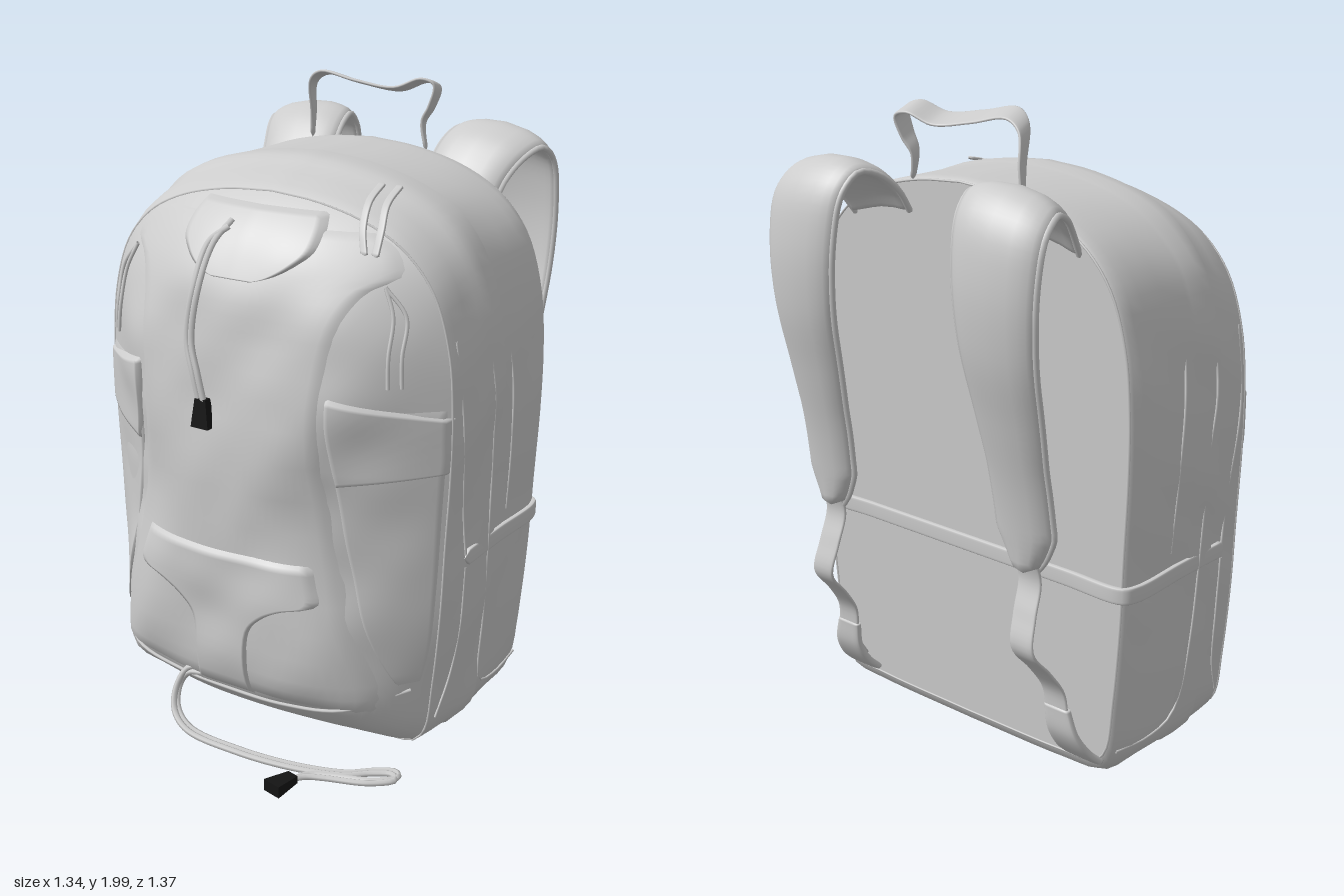
import * as THREE from 'three';

const grey = new THREE.MeshStandardMaterial({ color: 0xcccccc, side: THREE.DoubleSide });
const black = new THREE.MeshStandardMaterial({ color: 0x151515, side: THREE.DoubleSide });
const V = (x, y, z) => new THREE.Vector3(x, y, z);
const curve = (pts) => new THREE.CatmullRomCurve3(pts.map((p) => V(...p)), false, 'centripetal');

function named(name, geometry, material = grey) {
  const m = new THREE.Mesh(geometry, material);
  m.name = name;
  return m;
}

// Skin a list of rings (or open rows) of points
function loft(rings, closed = true) {
  const n = rings[0].length, idx = [];
  for (let i = 0; i < rings.length - 1; i++) {
    for (let j = 0; j < (closed ? n : n - 1); j++) {
      const k = (j + 1) % n, a = i * n + j, b = i * n + k;
      idx.push(a, b, b + n, a, b + n, a + n);
    }
  }
  const g = new THREE.BufferGeometry().setFromPoints(rings.flat());
  g.setIndex(idx);
  g.computeVertexNormals();
  return g;
}

// Padded band along a path; cross is its width direction, camber bows it across
function band(pts, width, thick, cross, { power = 0.5, steps = 40, camber = 0 } = {}) {
  const c = curve(pts), rings = [];
  for (let i = 0; i <= steps; i++) {
    const t = i / steps, p = c.getPoint(t), w = cross(t).normalize();
    const n = c.getTangent(t).cross(w).normalize(), ring = [];
    const end = i === 0 || i === steps ? 0.01 : 1;
    for (let j = 0; j < 20; j++) {
      const a = (j / 20) * Math.PI * 2, co = Math.cos(a), si = Math.sin(a);
      const u = Math.sign(co) * Math.abs(co) ** power * end;
      const v = Math.sign(si) * Math.abs(si) ** power * thick / 2 * end + camber * (u * u - 0.4);
      ring.push(p.clone().addScaledVector(w, u * width(t) / 2).addScaledVector(n, v));
    }
    rings.push(ring);
  }
  return loft(rings);
}
const tube = (pts, r, seg = 40) => new THREE.TubeGeometry(curve(pts), seg, r, 6);

// Front outline of the bag, counter-clockwise from the bottom middle
const half = curve([[0, 0.01, 0], [0.4, 0.015, 0], [0.55, 0.03, 0], [0.59, 0.08, 0], [0.615, 0.25, 0],
  [0.637, 0.5, 0], [0.648, 0.75, 0], [0.66, 1, 0], [0.66, 1.2, 0], [0.642, 1.38, 0], [0.585, 1.55, 0],
  [0.49, 1.66, 0], [0.36, 1.73, 0], [0.18, 1.775, 0], [0, 1.79, 0]]).getSpacedPoints(60);
const outline = [...half, ...half.slice(1, -1).reverse().map((p) => V(-p.x, p.y, 0))];

// Depth stations: z, width scale, top, bottom
const stations = [[-0.36, 0.95, 1.78, 0.06], [-0.35, 0.965, 1.788, 0.03], [-0.32, 0.977, 1.79, 0.014],
  [-0.27, 0.98, 1.79, 0.005], [-0.18, 0.977, 1.79, 0.005], [-0.07, 0.98, 1.79, 0.005], [-0.06, 0.99, 1.792, 0.005],
  [0, 1, 1.795, 0.005], [0.045, 0.997, 1.79, 0.005], [0.06, 0.982, 1.777, 0.005], [0.12, 0.98, 1.757, 0.008],
  [0.18, 0.972, 1.735, 0.012], [0.21, 0.955, 1.715, 0.018]];
const ripple = (x, y, z) => 0.005 * (Math.sin(9 * y + 5 * x + 3 * z) * Math.sin(7 * z + 11 * x)
  + 0.6 * Math.sin(23 * y - 9 * x + 17 * z) * Math.sin(13 * x + 5 * y));
const station = ([z, sx, top, bot]) => outline.map((p) => {
  const r = z > -0.34 && z < 0.2 ? ripple(p.x, p.y, z) : 0;
  return V(p.x * sx + Math.sign(p.x) * r, bot + ((p.y - 0.01) / 1.78) * (top - bot), z);
});
const bodyRings = stations.map(station);
const rim = bodyRings[bodyRings.length - 1];
const MID = 0.8;

// Depth of the domed front at a point: rounded sideways, boxier below, leaning back above
function front(x, y) {
  const dx = x, dy = y - MID;
  let s = 0;
  for (let i = 0; i < rim.length; i++) {
    const a = rim[i], b = rim[(i + 1) % rim.length], ay = a.y - MID, by = b.y - MID;
    if (a.x * dy - ay * dx >= 0 && dx * by - dy * b.x >= 0) {
      const ex = b.x - a.x, ey = by - ay;
      s = Math.min(1, (dx * ey - dy * ex) / (a.x * ey - ay * ex));
      break;
    }
  }
  const d2 = dx * dx + dy * dy, steep = d2 > 1e-8 ? ((dy * dy) / d2) ** 2 : 0;
  const p = 2.1 + (dy > 0 ? 5 : 7) * steep;
  const depth = 0.285 - 0.12 * Math.max(0, y - 0.95);
  return 0.21 + depth * (1 - s ** p) + 1.6 * ripple(x, y, 0.4) * (1 - s ** 4);
}
const onFront = (pts, lift = 0.01) => pts.map(([x, y]) => [x, y, front(x, y) + lift]);

// Sewn panel that follows the front; rows are [y, left x, right x]; tilt slopes its top and bottom edges
function panel(rows, lift, tilt = () => 0) {
  const c = curve(rows), R = 28, C = 28, grid = [];
  for (let i = 0; i <= R; i++) {
    const q = c.getPoint(i / R), row = [];
    for (let j = 0; j <= C; j++) {
      const x = q.y + (q.z - q.y) * (j / C), y = q.x + tilt(i / R) * (j / C);
      const edge = i === 0 || j === 0 || i === R || j === C;
      row.push(V(x, y, front(x, y) + (edge ? -0.008 : lift)));
    }
    grid.push(row);
  }
  return loft(grid, false);
}

// Point on the left flank for a given z and y
function onSide(z, y) {
  const p = half.find((h) => h.y >= y && h.x > 0.5);
  const i = Math.max(1, stations.findIndex((s) => s[0] >= z)), a = stations[i - 1], b = stations[i];
  const sx = a[1] + (b[1] - a[1]) * ((z - a[0]) / (b[0] - a[0]));
  return [p.x * sx + ripple(p.x, y, z), y, z];
}

function toggle(name, x, y, z) {
  const g = new THREE.CylinderGeometry(0.028, 0.045, 0.09, 4, 1).rotateY(Math.PI / 4);
  g.scale(1, 1, 0.6);
  const m = named(name, g.toNonIndexed(), black);
  m.geometry.computeVertexNormals();
  m.position.set(x, y, z);
  return m;
}

// Everything that exists once per side, built on the left
function sideParts() {
  const g = new THREE.Group();
  const X = () => V(1, 0, 0);
  const pad = [[0.32, 1.66, -0.35], [0.325, 1.73, -0.4], [0.345, 1.79, -0.47], [0.365, 1.81, -0.55], [0.375, 1.75, -0.62],
    [0.38, 1.6, -0.655], [0.385, 1.4, -0.65], [0.39, 1.2, -0.61], [0.395, 1, -0.57], [0.4, 0.85, -0.55], [0.4, 0.73, -0.54]];
  const padWidth = (t) => (0.25 + 0.07 * Math.sin(Math.PI * Math.min(1, t * 1.3)) - 0.06 * t) * Math.sqrt(Math.min(1, 0.1 + (1 - t) * 9));
  const padCross = (t) => V(1, -0.16 * (1 - t), 0.06);
  const camber = 0.028;
  g.add(named('shoulderStrap', band(pad, padWidth, 0.042, padCross, { power: 0.6, steps: 60, camber })));

  // piping along both strap edges
  const c = curve(pad);
  for (const e of [-1, 1]) {
    const pts = [];
    for (let i = 0; i <= 30; i++) {
      const t = i / 30, w = padCross(t).normalize(), n = c.getTangent(t).cross(w).normalize();
      pts.push(c.getPoint(t).addScaledVector(w, e * padWidth(t) / 2).addScaledVector(n, camber * 0.6).toArray());
    }
    g.add(named('strapPiping', tube(pts, 0.01, 60)));
  }
  g.add(named('adjusterWebbing', band([[0.4, 0.8, -0.55], [0.405, 0.7, -0.525], [0.41, 0.6, -0.555],
    [0.42, 0.5, -0.578], [0.43, 0.41, -0.51], [0.44, 0.33, -0.46], [0.45, 0.22, -0.445], [0.46, 0.13, -0.39]],
  () => 0.085, 0.012, X)));
  g.add(named('strapAnchor', band([[0.445, 0.28, -0.45], [0.46, 0.19, -0.44], [0.47, 0.12, -0.4], [0.475, 0.08, -0.36]],
    (t) => 0.09 + 0.07 * t, 0.026, X)));

  // flank seams
  const seams = [
    [[0.05, 1.5], [0.02, 1.2], [0, 1], [-0.015, 0.7], [-0.03, 0.4], [-0.05, 0.2], [-0.09, 0.13], [-0.2, 0.11], [-0.34, 0.12]],
    [[-0.07, 1.5], [-0.12, 1.2], [-0.14, 0.95], [-0.15, 0.72]],
    [[0.11, 0.62], [0.11, 0.42], [0.13, 0.25], [0.18, 0.12]],
    [[0.18, 1.35], [0.17, 1.1], [0.13, 0.8], [0.11, 0.66]]];
  for (const s of seams) g.add(named('flankSeam', tube(s.map((p) => onSide(...p)), 0.004)));

  // front side pocket, its elastic top and the zip
  g.add(named('sidePocket', panel([[0.26, 0.53, 0.565], [0.4, 0.47, 0.59], [0.6, 0.41, 0.605], [0.8, 0.37, 0.615],
    [1, 0.345, 0.625], [1.17, 0.335, 0.625]], 0.006)));
  g.add(named('pocketElastic', panel([[0.915, 0.36, 0.63], [1, 0.345, 0.635], [1.1, 0.335, 0.635], [1.2, 0.335, 0.635]],
    0.016, (t) => 0.04 - 0.11 * t)));
  for (const d of [0, 0.03]) {
    g.add(named('zipPull', tube(onFront([[0.45, 1.51], [0.485 + d, 1.43], [0.49 + d, 1.32], [0.495 + d, 1.23]], 0.015), 0.006)));
  }
  return g;
}

export function createModel() {
  const model = new THREE.Group();
  model.name = 'backpack';

  // main shell: flanks, flat back and domed front
  model.add(named('body', loft(bodyRings)));
  const shrink = (s, ring) => ring.map((p) => V(p.x * s, MID + (p.y - MID) * s, p.z));
  model.add(named('backPanel', loft([1, 0.7, 0.4, 0.001].map((s) => shrink(s, bodyRings[0])))));
  const domes = [];
  for (let i = 0; i <= 40; i++) {
    const ring = shrink(Math.max(0.001, 1 - (i / 40) ** 1.6), rim);
    if (i) ring.forEach((p) => { p.z = front(p.x, p.y); });
    domes.push(ring);
  }
  model.add(named('frontPanel', loft(domes)));

  // piping around the front and back rims
  for (const ring of [rim, bodyRings[0]]) {
    model.add(named('rimPiping', new THREE.TubeGeometry(new THREE.CatmullRomCurve3(ring, true), 160, 0.004, 5, true)));
  }

  // front panels
  const sym = (rows) => rows.map(([y, x]) => [y, -x, x]);
  model.add(named('centrePanel', panel(sym([[0.17, 0.5], [0.27, 0.51], [0.5, 0.425], [0.8, 0.36], [1.1, 0.33],
    [1.3, 0.345], [1.42, 0.375], [1.49, 0.42], [1.54, 0.5], [1.6, 0.46], [1.65, 0.36]]), 0.006)));
  model.add(named('topFlap', panel(sym([[1.685, 0.22], [1.64, 0.24], [1.59, 0.24], [1.55, 0.2], [1.51, 0.13], [1.49, 0.06]]), 0.022)));
  model.add(named('lowerPanel', panel(sym([[0.675, 0.31], [0.6, 0.335], [0.55, 0.345], [0.52, 0.25], [0.48, 0.17],
    [0.42, 0.115], [0.3, 0.1], [0.17, 0.1]]), 0.018)));
  model.add(named('baseSeam', tube(onFront([[-0.55, 0.25], [-0.4, 0.2], [-0.2, 0.17], [0, 0.165], [0.2, 0.17], [0.4, 0.2], [0.55, 0.25]], 0.004), 0.006)));

  const left = sideParts(), right = left.clone();
  left.name = 'leftSide';
  right.name = 'rightSide';
  right.scale.x = -1;
  model.add(left, right);

  // belt around the flanks and back
  const belt = [];
  for (const s of [1, -1]) {
    const run = [[0.637, 0.12], [0.635, -0.1], [0.637, -0.32], [0.615, -0.362], [0.4, -0.363], [0, -0.363]].map(([x, z]) => [s * x, 0.652, z]);
    belt.push(...(s > 0 ? run : run.slice(0, -1).reverse()));
  }
  model.add(named('belt', band(belt, () => 0.052, 0.018, () => V(0, 1, 0), { power: 0.4, steps: 100 })));

  // grab handle
  model.add(named('grabHandle', band([[-0.235, 1.76, -0.355], [-0.225, 1.85, -0.345], [-0.205, 1.95, -0.315], [-0.15, 1.985, -0.3],
    [-0.03, 1.965, -0.31], [0.1, 1.95, -0.335], [0.18, 1.98, -0.36], [0.22, 1.965, -0.37], [0.205, 1.9, -0.365], [0.18, 1.85, -0.36], [0.195, 1.76, -0.355]],
  (t) => 0.02 + 0.085 * Math.sin(Math.PI * t), 0.01, () => V(0.25, 0.25, 1), { power: 0.4, steps: 60 })));

  // top zip pulls
  for (const d of [0, 0.06]) {
    model.add(named('topZipPull', band([[0.3 + d, 1.75, 0.07], [0.325 + d, 1.715, 0.19], [0.345 + d, 1.655, 0.25], [0.375 + d * 0.6, 1.59, 0.29]],
      () => 0.026, 0.01, () => V(1, 0, 0.2))));
  }

  // doubled drawcords with toggles
  for (const d of [-0.009, 0.009]) {
    model.add(named('upperCord', tube(onFront([[-0.06, 1.635 + d], [-0.1 + d, 1.58], [-0.11 + d, 1.45], [-0.115 + d, 1.3],
      [-0.085 + d, 1.21], [-0.06 + d, 1.12]], 0.028), 0.01)));
    model.add(named('lowerCord', tube([[-0.1, 0.2 + d, 0.46], [-0.155, 0.19 + d, 0.47], [-0.185, 0.13, 0.49 + d], [-0.17, 0.07, 0.52 + d],
      [-0.1, 0.035, 0.55 + d], [0.1, 0.025, 0.555 + d], [0.3, 0.025, 0.53 + d], [0.45, 0.03, 0.485 + d], [0.52, 0.035, 0.435 + d],
      [0.58, 0.04, 0.412 + d], [0.6, 0.04, 0.435 + d], [0.54, 0.035, 0.485 + d], [0.41, 0.03, 0.53 + d], [0.36, 0.03, 0.555 + d], [0.33, 0.03, 0.6]], 0.01, 90)));
  }
  model.add(toggle('upperToggle', -0.06, 1.09, front(-0.06, 1.09) + 0.02));
  const floorToggle = toggle('lowerToggle', 0.32, 0.03, 0.63);
  floorToggle.rotation.set(-Math.PI / 2, 0, -0.2);
  model.add(floorToggle);
  return model;
}
